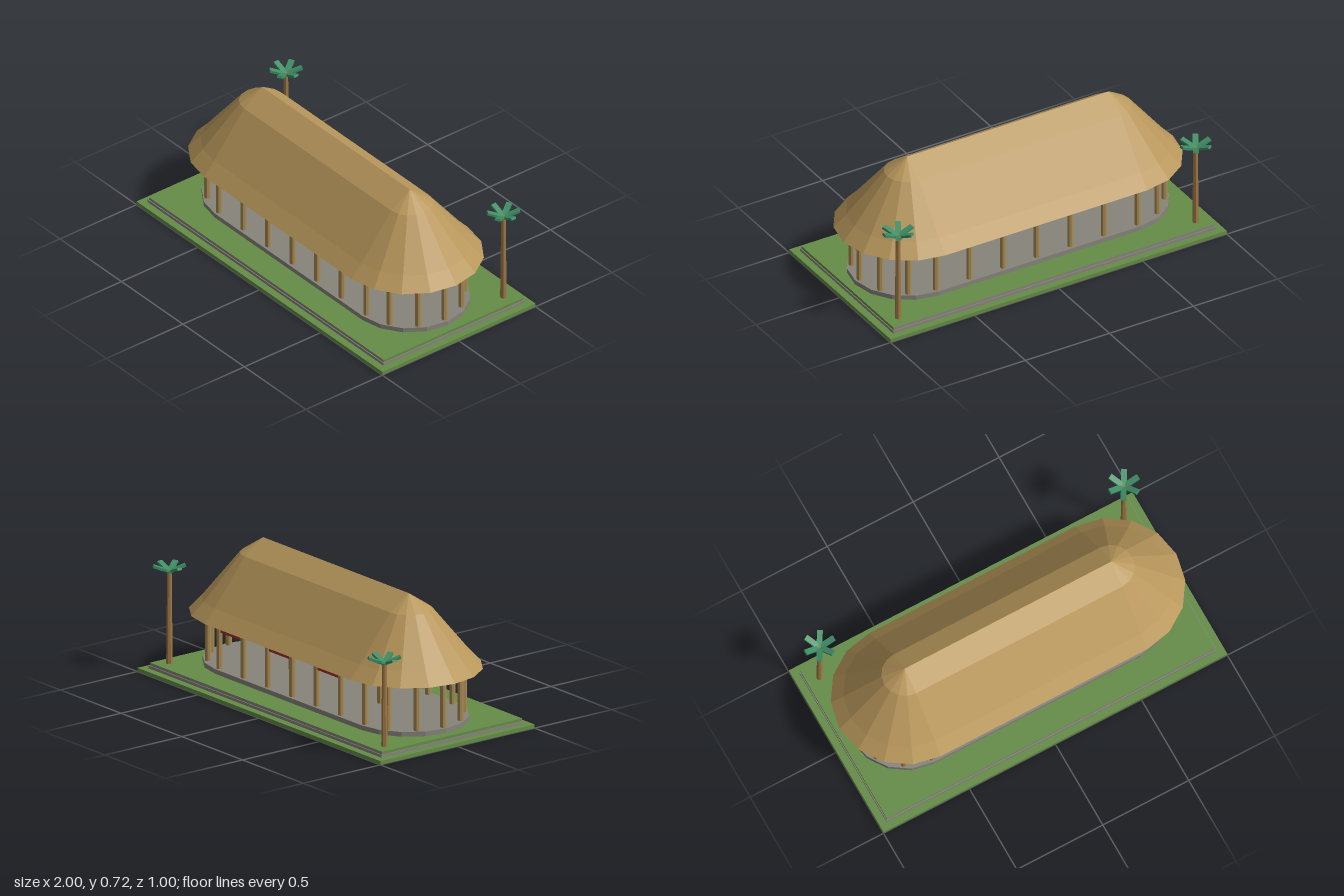
import * as THREE from 'three';

const mat = (name, color) => {
  const m = new THREE.MeshStandardMaterial({ color, flatShading: true });
  m.name = name;
  return m;
};

// Point on a stadium outline: straight sides of half length 0.6, round ends of radius r
const HALF = 0.6, ARC = 8;
function stadium(r, y) {
  const pts = [];
  for (const end of [0, 1]) {
    for (let i = 0; i <= ARC; i++) {
      const a = -Math.PI / 2 + Math.PI * (end + i / ARC);
      pts.push([(end ? -HALF : HALF) + r * Math.cos(a), y, r * Math.sin(a)]);
    }
  }
  return pts;
}

// Closed solid from stadium rings given as [radius, height], bottom to top
function stadiumLoft(profile) {
  const pos = [];
  const rings = profile.map(([r, y]) => stadium(r, y));
  const n = rings[0].length;
  for (let k = 0; k + 1 < rings.length; k++) {
    const lo = rings[k], hi = rings[k + 1];
    for (let i = 0; i < n; i++) {
      const j = (i + 1) % n;
      const straight = i % (ARC + 1) === ARC;
      if (profile[k][0] > 0 || straight) pos.push(...lo[i], ...hi[j], ...lo[j]);
      if (profile[k + 1][0] > 0 || straight) pos.push(...lo[i], ...hi[i], ...hi[j]);
    }
  }
  const g = new THREE.BufferGeometry();
  g.setAttribute('position', new THREE.Float32BufferAttribute(pos, 3));
  g.computeVertexNormals();
  return g;
}

export function createModel() {
  const root = new THREE.Group();
  root.name = 'longhouse';
  const grass = mat('grass green', 0x648c46);
  const stone = mat('stone grey', 0x87847b);
  const thatch = mat('thatch', 0xb8975b);
  const wood = mat('post wood', 0xa98b53);
  const bark = mat('palm bark', 0xa07a45);
  const leaf = mat('palm green', 0x3f8f66);
  const cloth = mat('banner red', 0x9e2c2c);

  const add = (name, geo, material, x = 0, y = 0, z = 0, parent = root) => {
    const m = new THREE.Mesh(geo, material);
    m.name = name;
    m.position.set(x, y, z);
    parent.add(m);
    return m;
  };

  // Stepped ground
  add('lawn', new THREE.BoxGeometry(2, 0.02, 1), grass, 0, 0.01, 0);
  add('stoneKerb', new THREE.BoxGeometry(1.92, 0.015, 0.92), stone, 0, 0.0275, 0);
  add('terrace', new THREE.BoxGeometry(1.91, 0.015, 0.91),
    [grass, grass, grass, grass, stone, stone], 0, 0.0425, 0);

  // Floor and thatched roof
  add('floorPlatform', stadiumLoft([[0, 0.05], [0.31, 0.05], [0.31, 0.075], [0, 0.075]]), stone);
  add('thatchedRoof', stadiumLoft(
    [[0, 0.33], [0.38, 0.33], [0.315, 0.4], [0.12, 0.64], [0, 0.72]]), thatch);

  // Posts along both sides, around both ends, and two inside
  const postGeo = new THREE.CylinderGeometry(0.016, 0.016, 0.256, 8);
  const posts = new THREE.Group();
  posts.name = 'posts';
  root.add(posts);
  const post = (x, z) => add('post', postGeo, wood, x, 0.203, z, posts);
  const R = 0.283;
  for (const s of [1, -1]) {
    for (let i = -3; i <= 3; i++) post(i * 0.2, s * R);
    for (let i = -2; i <= 2; i++) {
      const a = i * Math.PI / 6;
      post(s * (HALF + R * Math.cos(a)), R * Math.sin(a));
    }
    post(s * 0.365, 0);
  }

  // Banners hung in every other bay
  for (const z of [R, -R]) {
    for (const x of [-0.3, 0.1, 0.5]) {
      add('banner', new THREE.BoxGeometry(0.18, 0.046, 0.009), cloth, x, 0.292, z);
    }
  }

  // Palms at the back corners
  const frondGeo = new THREE.BoxGeometry(0.09, 0.013, 0.03);
  frondGeo.translate(0.045, 0, 0);
  for (const [x, top] of [[-0.885, 0.49], [0.885, 0.54]]) {
    const palm = new THREE.Group();
    palm.name = 'palm';
    palm.position.set(x, 0, -0.383);
    root.add(palm);
    const h = top - 0.04;
    add('palmTrunk', new THREE.CylinderGeometry(0.012, 0.017, h, 7), bark, 0, 0.05 + h / 2, 0, palm);
    for (let i = 0; i < 6; i++) {
      const f = add('palmFrond', frondGeo, leaf, 0, top, 0, palm);
      f.rotation.set(0, i * Math.PI / 3, 0.38);
    }
  }
  return root;
}
